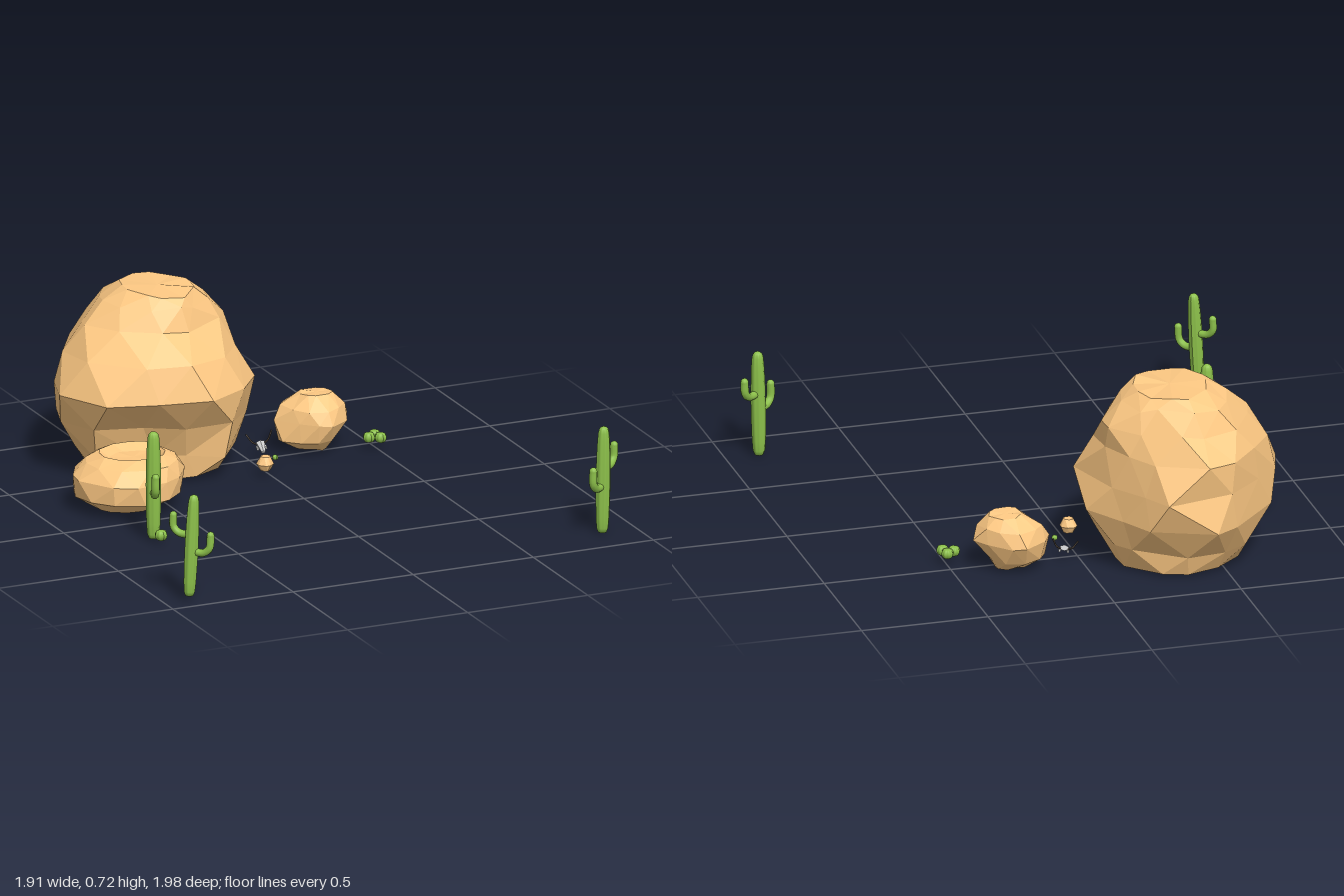
import * as THREE from 'three';

const ROCK = new THREE.MeshStandardMaterial({ color: 0xffca84, flatShading: true });
const GREEN = new THREE.MeshStandardMaterial({ color: 0x8cc04a });
const BONE = new THREE.MeshStandardMaterial({ color: 0xcccccc, flatShading: true });
const HORN = new THREE.MeshStandardMaterial({ color: 0x4a4038 });

function seeded(seed) {
  return () => {
    seed = (seed * 16807) % 2147483647;
    return seed / 2147483647;
  };
}

function add(parent, name, geometry, material, x = 0, y = 0, z = 0) {
  const mesh = new THREE.Mesh(geometry, material);
  mesh.name = name;
  mesh.position.set(x, y, z);
  parent.add(mesh);
  return mesh;
}

// Faceted boulder lofted through rings [y, left, right, back, front].
// Each dent [x, y, z, radius, depth] pulls nearby points towards the middle.
function rockGeometry(rings, sides, rough, seed, dents = []) {
  const rand = seeded(seed);
  const points = [];
  const index = [];
  const middle = new THREE.Vector3();
  const ringMiddle = ([y, x0, x1, z0, z1]) => new THREE.Vector3((x0 + x1) / 2, y, (z0 + z1) / 2);
  rings.forEach((r) => middle.addScaledVector(ringMiddle(r), 1 / rings.length));
  const height = rings[rings.length - 1][0] - rings[0][0];

  rings.forEach((ring, i) => {
    const [y, x0, x1, z0, z1] = ring;
    const c = ringMiddle(ring);
    for (let j = 0; j < sides; j++) {
      const a = ((j + (i % 2) * 0.5 + (rand() - 0.5) * 0.5) / sides) * Math.PI * 2;
      const k = 1.035 - rand() * rough;
      const p = new THREE.Vector3(
        c.x + Math.cos(a) * k * (x1 - x0) / 2,
        Math.max(0, y + (rand() - 0.5) * rough * height * 0.4),
        c.z + Math.sin(a) * k * (z1 - z0) / 2);
      for (const [dx, dy, dz, radius, depth] of dents) {
        const d = p.distanceTo(new THREE.Vector3(dx, dy, dz)) / radius;
        if (d < 1) p.lerp(new THREE.Vector3(middle.x, p.y, middle.z), depth * (1 - d * d));
      }
      points.push(p);
    }
  });

  const last = (rings.length - 1) * sides;
  const bottom = points.push(ringMiddle(rings[0])) - 1;
  const top = points.push(ringMiddle(rings[rings.length - 1])) - 1;
  for (let j = 0; j < sides; j++) {
    const n = (j + 1) % sides;
    for (let s = 0; s < last; s += sides) {
      const [a, b, c, d] = [s + j, s + n, s + sides + j, s + sides + n];
      // Alternate the diagonal with the half-step twist of the rings
      if ((s / sides) % 2 === 0) index.push(a, c, b, b, c, d);
      else index.push(a, c, d, a, d, b);
    }
    index.push(bottom, j, n, top, last + n, last + j);
  }
  const geometry = new THREE.BufferGeometry().setFromPoints(points);
  geometry.setIndex(index);
  const flat = geometry.toNonIndexed();
  flat.computeVertexNormals();
  return flat;
}

// Ribbed upright body with a rounded top
function ribbedBody(profile, ribs, depth) {
  const curve = new THREE.SplineCurve(profile.map(([r, y]) => new THREE.Vector2(r, y)));
  const geometry = new THREE.LatheGeometry(curve.getPoints(16), ribs * 4);
  const pos = geometry.attributes.position;
  for (let i = 0; i < pos.count; i++) {
    const k = 1 + depth * Math.cos(Math.atan2(pos.getZ(i), pos.getX(i)) * ribs);
    pos.setXYZ(i, pos.getX(i) * k, pos.getY(i), pos.getZ(i) * k);
  }
  geometry.computeVertexNormals();
  return geometry;
}

function cactus(x, y, z, turn, scale, lean) {
  const group = new THREE.Group();
  group.name = 'cactus';
  add(group, 'trunk', ribbedBody([[0, 0], [0.021, 0.001], [0.027, 0.12], [0.027, 0.26],
    [0.022, 0.38], [0.013, 0.407], [0, 0.412]], 8, 0.05), GREEN);
  // Upper and lower arms on opposite sides
  for (const [reach, start, tip] of [[0.085, 0.245, 0.315], [-0.08, 0.178, 0.255]]) {
    const path = new THREE.CatmullRomCurve3([
      new THREE.Vector3(0, start, 0),
      new THREE.Vector3(reach * 0.65, start, 0),
      new THREE.Vector3(reach * 0.96, start + 0.022, 0),
      new THREE.Vector3(reach, tip, 0)]);
    add(group, 'arm', new THREE.TubeGeometry(path, 14, 0.0155, 10), GREEN);
    add(group, 'armTip', new THREE.SphereGeometry(0.0155, 10, 8), GREEN, reach, tip, 0);
  }
  group.position.set(x, y, z);
  group.rotation.set(0, turn, lean, 'ZYX');
  group.scale.setScalar(scale);
  return group;
}

function barrelCactus(parent, x, y, z, r) {
  add(parent, 'barrelCactus', ribbedBody([[0, -r * 0.9], [r * 0.65, -r * 0.75], [r, 0],
    [r * 0.7, r * 0.75], [0, r * 0.85]], 8, 0.08), GREEN, x, y, z);
}

function skull() {
  const group = new THREE.Group();
  group.name = 'skull';
  // Tapered head with cheeks
  const head = add(group, 'head', new THREE.CylinderGeometry(0.019, 0.009, 0.06, 6), BONE, 0, 0, 0.018);
  head.rotation.x = -1.25;
  head.scale.z = 0.6;
  for (const s of [-1, 1]) {
    add(group, 'cheek', new THREE.BoxGeometry(0.008, 0.01, 0.022), BONE, s * 0.016, -0.006, 0.004);
    // Curved horn
    const path = new THREE.CatmullRomCurve3([
      new THREE.Vector3(s * 0.01, 0.004, -0.008),
      new THREE.Vector3(s * 0.03, 0.014, -0.014),
      new THREE.Vector3(s * 0.042, 0.034, -0.016),
      new THREE.Vector3(s * 0.05, 0.048, -0.022)]);
    add(group, 'horn', new THREE.TubeGeometry(path, 8, 0.0035, 6), HORN);
  }
  group.position.set(0.06, 0.045, -0.525);
  group.rotation.set(0, -0.25, 0.12);
  return group;
}

export function createModel() {
  const model = new THREE.Group();
  model.name = 'desertScene';

  // Large boulder: hollow under the front left, trimmed back corners, notched top
  add(model, 'largeBoulder', rockGeometry([
    [0.01, -0.60, -0.12, -0.83, -0.30],
    [0.1, -0.68, -0.07, -0.87, -0.26],
    [0.23, -0.74, 0.0, -0.97, -0.23],
    [0.36, -0.76, 0.03, -1.0, -0.21],
    [0.49, -0.70, -0.04, -0.98, -0.28],
    [0.59, -0.63, -0.06, -0.89, -0.40],
    [0.67, -0.55, -0.13, -0.85, -0.43],
    [0.715, -0.47, -0.19, -0.79, -0.45],
  ], 12, 0.07, 41, [
    [-0.5, 0.1, -0.28, 0.3, 0.5],
    [0.0, 0.38, -0.85, 0.28, 0.25],
    [-0.66, 0.35, -0.9, 0.24, 0.18],
    [-0.22, 0.64, -0.82, 0.12, 0.2],
  ]), ROCK);

  // Low slab with a shallow dished top and underside
  add(model, 'slabRock', rockGeometry([
    [0.03, -0.69, -0.59, -0.24, -0.15],
    [0.005, -0.76, -0.53, -0.30, -0.11],
    [0.065, -0.86, -0.44, -0.38, 0.0],
    [0.14, -0.86, -0.42, -0.40, 0.005],
    [0.19, -0.81, -0.45, -0.37, -0.03],
    [0.215, -0.75, -0.49, -0.32, -0.09],
    [0.195, -0.72, -0.52, -0.27, -0.12],
  ], 12, 0.08, 77), ROCK);

  // Small boulder with a blunt point on the model's left
  add(model, 'smallBoulder', rockGeometry([
    [0.01, 0.22, 0.34, -0.59, -0.48],
    [0.05, 0.14, 0.37, -0.64, -0.43],
    [0.125, 0.13, 0.43, -0.68, -0.40],
    [0.18, 0.16, 0.41, -0.66, -0.42],
    [0.225, 0.23, 0.36, -0.60, -0.48],
  ], 10, 0.12, 15, [[0.4, 0.13, -0.65, 0.12, 0.2], [0.16, 0.13, -0.42, 0.12, 0.2]]), ROCK);

  // Pebble
  add(model, 'pebble', rockGeometry([
    [0.025, -0.04, 0.0, -0.33, -0.29],
    [0.05, -0.058, 0.015, -0.345, -0.275],
    [0.08, -0.04, 0.0, -0.33, -0.29],
  ], 8, 0.12, 9), ROCK);

  model.add(skull());

  // Tall cacti
  model.add(cactus(-0.9, 0.03, 0.93, 2.31, 0.95, -0.05));
  model.add(cactus(-0.72, 0.015, 0.205, 1.25, 1.01, 0));
  model.add(cactus(0.865, 0.01, 0.83, 0.65, 1, -0.015));

  // Small round cacti
  barrelCactus(model, -0.715, 0.035, 0.265, 0.023);
  for (const [x, z] of [[0.468, -0.435], [0.5, -0.455], [0.508, -0.415]]) {
    barrelCactus(model, x, 0.05, z, 0.022);
  }
  barrelCactus(model, 0.057, 0.04, -0.39, 0.011);

  return model;
}
